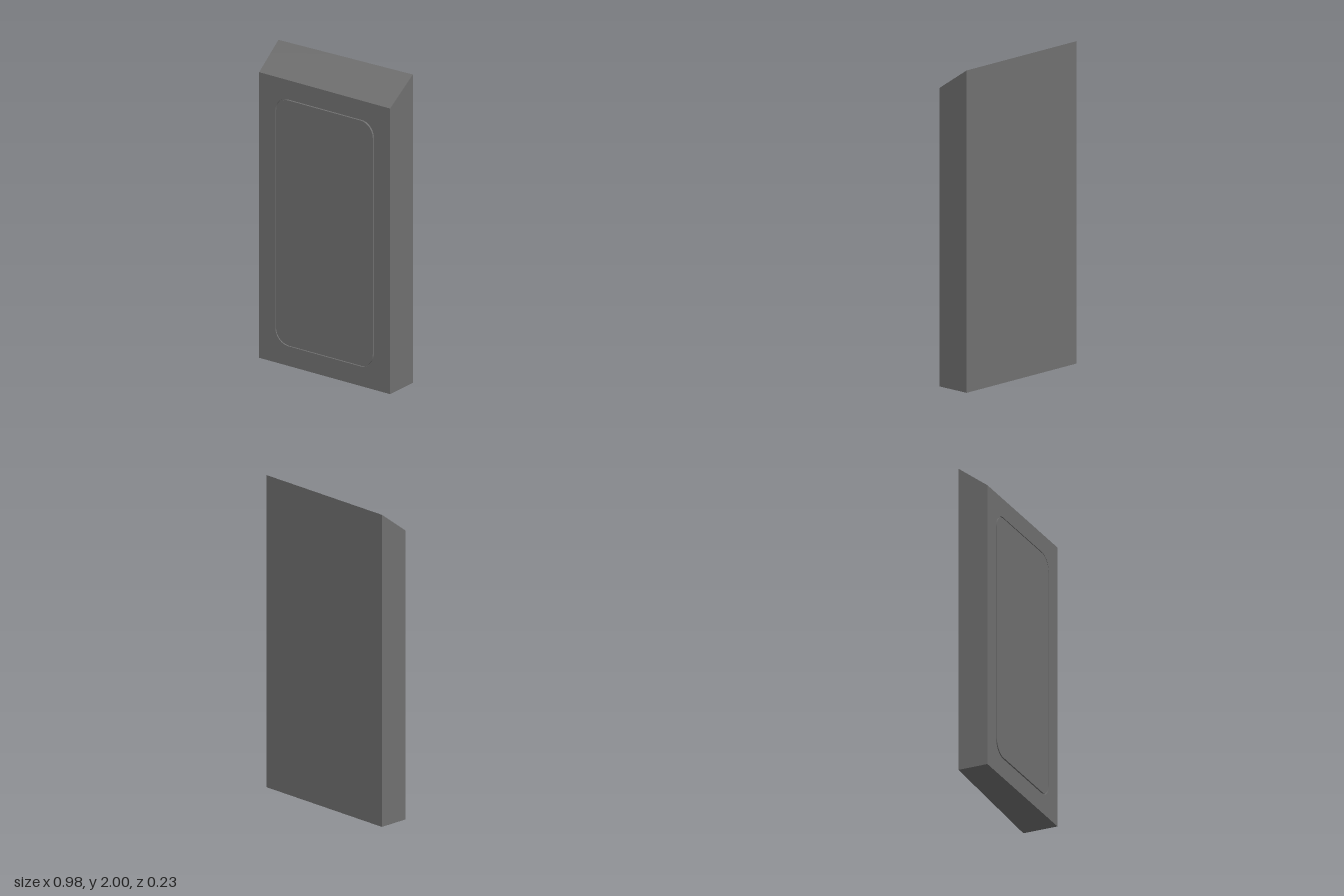
import * as THREE from 'three';

const HALF_WIDTH = 0.492;
const FRONT_Z = 0.113;
const FRONT_TOP = 1.852;
const GROOVE_DEPTH = 0.01;

// Rounded rectangle around the panel's centre line, grown by a margin
function panelOutline(margin) {
  const x = 0.363 + margin, y0 = 0.135 - margin, y1 = 1.722 + margin, r = 0.092 + margin;
  const s = new THREE.Shape();
  s.absarc(x - r, y0 + r, r, -Math.PI / 2, 0);
  s.absarc(x - r, y1 - r, r, 0, Math.PI / 2);
  s.absarc(-x + r, y1 - r, r, Math.PI / 2, Math.PI);
  s.absarc(-x + r, y0 + r, r, Math.PI, Math.PI * 1.5);
  s.closePath();
  return s;
}

// Upright band following a closed outline between two depths
function bandGeometry(points, z0, z1) {
  const positions = [], indices = [];
  points.forEach(({ x, y }, i) => {
    positions.push(x, y, z0, x, y, z1);
    const a = 2 * i, b = 2 * ((i + 1) % points.length);
    indices.push(a, a + 1, b, b, a + 1, b + 1);
  });
  const g = new THREE.BufferGeometry();
  g.setAttribute('position', new THREE.Float32BufferAttribute(positions, 3));
  g.setIndex(indices);
  g.computeVertexNormals();
  return g;
}

export function createModel() {
  const model = new THREE.Group();
  model.name = 'slantedSlab';
  const material = new THREE.MeshStandardMaterial({ color: 0x707070 });
  const add = (name, geometry, z = 0) => {
    const mesh = new THREE.Mesh(geometry, material);
    mesh.name = name;
    mesh.position.z = z;
    model.add(mesh);
  };

  // Body: a box with a sloping top and skewed back, its front face left open
  const slab = new THREE.BoxGeometry(2 * HALF_WIDTH, 2, 1);
  const p = slab.attributes.position;
  for (let i = 0; i < p.count; i++) {
    const isFront = p.getZ(i) > 0;
    const backZ = p.getX(i) > 0 ? -0.115 : -0.08;
    const topY = isFront ? FRONT_TOP : 2;
    p.setY(i, p.getY(i) > 0 ? topY : 0);
    p.setZ(i, isFront ? FRONT_Z : backZ);
  }
  slab.computeVertexNormals();
  const frontFace = slab.groups[4];
  slab.setIndex([...slab.index.array].filter(
    (_, i) => i < frontFace.start || i >= frontFace.start + frontFace.count
  ));
  add('body', slab);

  // Front frame with a rounded opening
  const frame = new THREE.Shape([
    new THREE.Vector2(-HALF_WIDTH, 0), new THREE.Vector2(HALF_WIDTH, 0),
    new THREE.Vector2(HALF_WIDTH, FRONT_TOP), new THREE.Vector2(-HALF_WIDTH, FRONT_TOP)
  ]);
  const opening = panelOutline(0.008);
  frame.holes.push(opening);
  add('frontFrame', new THREE.ShapeGeometry(frame, 12), FRONT_Z);

  // Narrow groove around the panel: floor and outer wall
  add('grooveFloor', new THREE.ShapeGeometry(opening, 12), FRONT_Z - GROOVE_DEPTH);
  const rim = opening.getPoints(12).slice(0, -1);
  add('grooveWall', bandGeometry(rim, FRONT_Z - GROOVE_DEPTH, FRONT_Z));

  // Panel standing just proud of the frame
  const panel = new THREE.ExtrudeGeometry(panelOutline(0), {
    depth: GROOVE_DEPTH + 0.002, bevelEnabled: false, curveSegments: 12
  });
  add('frontPanel', panel, FRONT_Z - GROOVE_DEPTH);

  return model;
}
